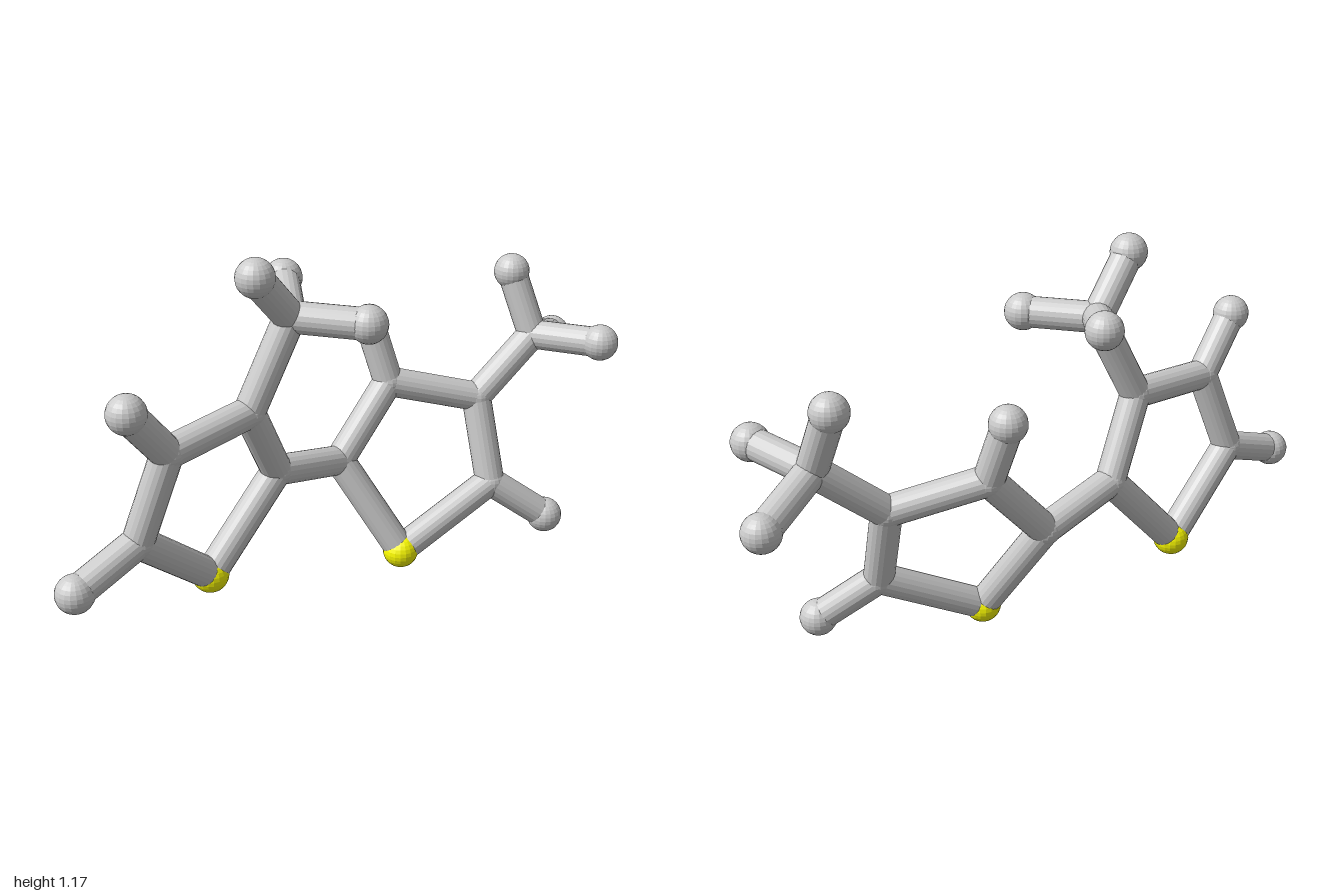
import * as THREE from 'three';

const BOND_RADIUS = 0.048, JOINT_RADIUS = 0.05, BALL_RADIUS = 0.058;

// Atom centres by name: c = joint, h = end ball, s = yellow ball
const ATOMS = {
  // left ring
  s1: [-0.46, 0.15, -0.07], c2: [-0.21, 0.43, -0.08], c3: [-0.335, 0.68, -0.02],
  c4: [-0.635, 0.655, 0.04], c5: [-0.73, 0.385, 0.01],
  h4: [-0.77, 0.825, 0.083], h5: [-0.945, 0.305, 0.043],
  // left branch
  c6: [-0.2, 0.955, -0.003], h6a: [-0.345, 1.118, 0.055],
  h6b: [-0.103, 1.0, -0.195], h6c: [-0.038, 0.95, 0.163],
  // right ring
  s11: [0.2, 0.06, 0.01], c12: [0.06, 0.365, -0.138], c13: [0.255, 0.59, -0.148],
  c14: [0.53, 0.51, -0.035], c15: [0.53, 0.235, 0.053],
  h13: [0.217, 0.785, -0.202], h15: [0.698, 0.1, 0.143],
  // right branch
  c16: [0.74, 0.69, -0.015], h16a: [0.705, 0.893, -0.092],
  h16b: [0.838, 0.71, 0.202], h16c: [0.94, 0.612, -0.14],
};

// Chains of joined atoms; each neighbouring pair makes one rod
const CHAINS = [
  's1 c2 c3 c4 c5 s1', 's11 c12 c13 c14 c15 s11', 'c2 c12',
  'c4 h4', 'c5 h5', 'c13 h13', 'c15 h15',
  'c3 c6 h6a', 'c6 h6b', 'c6 h6c',
  'c14 c16 h16a', 'c16 h16b', 'c16 h16c',
];

export function createModel() {
  const model = new THREE.Group();
  model.name = 'moleculeModel';
  const grey = new THREE.MeshStandardMaterial({ color: 0xcccccc, flatShading: true });
  const yellow = new THREE.MeshStandardMaterial({ color: 0xffff00, flatShading: true });
  const jointGeo = new THREE.SphereGeometry(JOINT_RADIUS, 20, 14);
  const ballGeo = new THREE.SphereGeometry(BALL_RADIUS, 20, 14);
  const rodGeo = new THREE.CylinderGeometry(BOND_RADIUS, BOND_RADIUS, 1, 20);
  const at = (key) => new THREE.Vector3(...ATOMS[key]);

  // Atoms
  const kinds = {
    c: ['carbonJoint', jointGeo, grey],
    h: ['hydrogenBall', ballGeo, grey],
    s: ['sulfurBall', ballGeo, yellow],
  };
  for (const key of Object.keys(ATOMS)) {
    const [name, geometry, material] = kinds[key[0]];
    const atom = new THREE.Mesh(geometry, material);
    atom.name = name;
    atom.position.copy(at(key));
    model.add(atom);
  }

  // Bonds: unit rods stretched and turned between two atoms
  const up = new THREE.Vector3(0, 1, 0);
  for (const chain of CHAINS) {
    const keys = chain.split(' ');
    for (let i = 1; i < keys.length; i++) {
      const a = at(keys[i - 1]), b = at(keys[i]);
      const span = b.clone().sub(a);
      const rod = new THREE.Mesh(rodGeo, grey);
      rod.name = 'bondRod';
      rod.scale.y = span.length();
      rod.position.copy(a).add(b).multiplyScalar(0.5);
      rod.quaternion.setFromUnitVectors(up, span.normalize());
      model.add(rod);
    }
  }
  return model;
}
